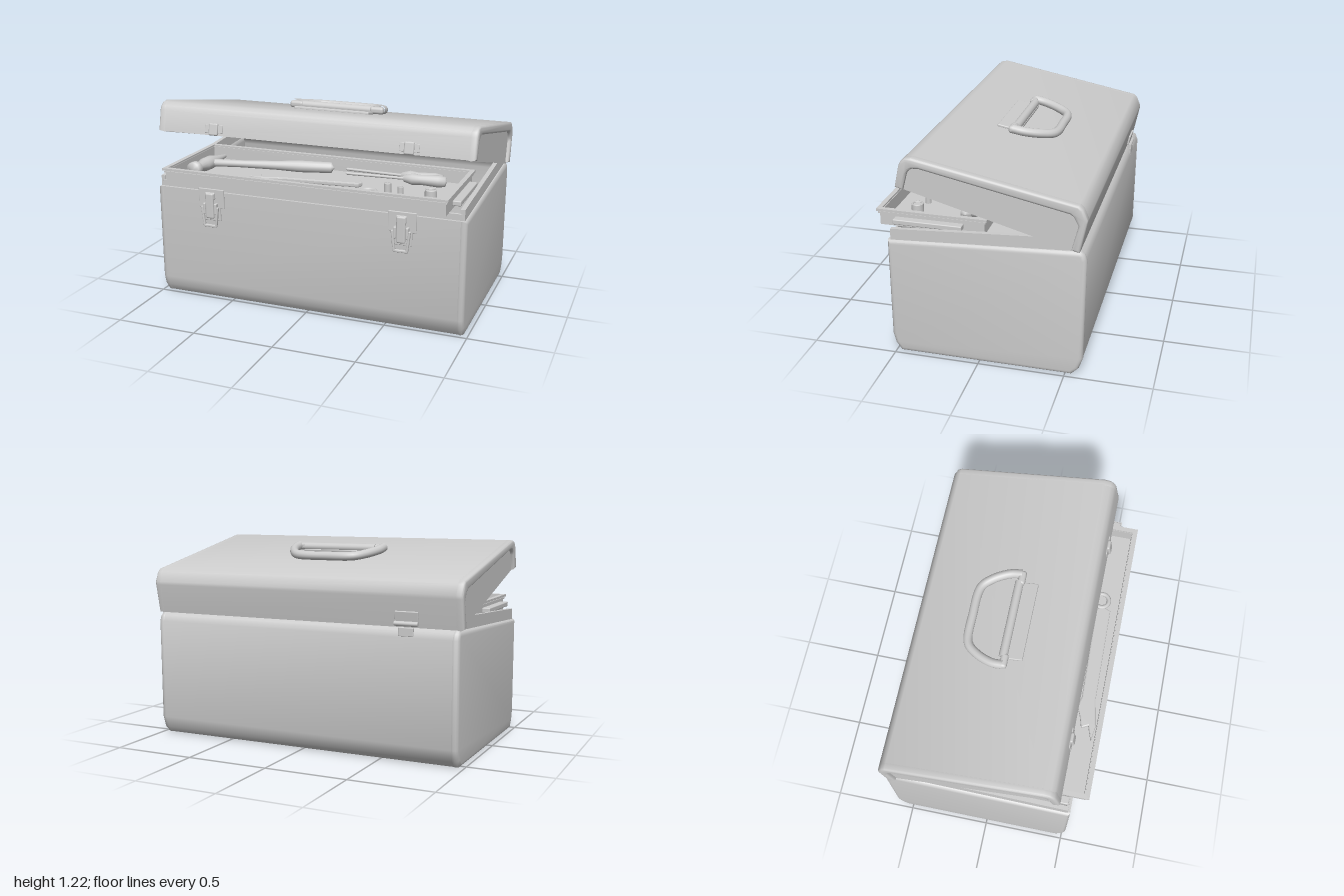
import * as THREE from 'three';
import { toCreasedNormals } from 'three/addons/utils/BufferGeometryUtils.js';
import { RoundedBoxGeometry } from 'three/addons/geometries/RoundedBoxGeometry.js';

export function createModel() {
  const root = new THREE.Group();
  const grey = new THREE.MeshStandardMaterial({ color: 0xcccccc });
  grey.name = 'grey metal';

  const add = (name, geo, pos = [0, 0, 0], rot = [0, 0, 0], parent = root) => {
    const mesh = new THREE.Mesh(geo, grey);
    mesh.name = name;
    mesh.position.set(...pos);
    mesh.rotation.set(...rot);
    parent.add(mesh);
    return mesh;
  };
  const box = (w, h, d, r = 0.006) => new RoundedBoxGeometry(w, h, d, 2, r);

  // Extrude a [z, y] outline along x, from x0 to x1
  const alongX = (pts, x0, x1, bevel = 0) => {
    const shape = new THREE.Shape(pts.map(([z, y]) => new THREE.Vector2(-z, y)));
    const geo = new THREE.ExtrudeGeometry(shape, {
      depth: x1 - x0 - 2 * bevel, bevelEnabled: bevel > 0, bevelSize: bevel,
      bevelThickness: bevel, bevelOffset: -bevel, bevelSegments: 3,
    });
    geo.translate(0, 0, x0 + bevel).rotateY(Math.PI / 2);
    return toCreasedNormals(geo, 0.7);
  };

  // Turn an open [z, y] line into a wall by shrinking it toward the line joining its ends
  const wall = (pts, kz, ky) => {
    const [a, b] = [pts[0], pts[pts.length - 1]];
    const cz = (a[0] + b[0]) / 2, m = (b[1] - a[1]) / (b[0] - a[0]);
    const line = z => a[1] + m * (z - a[0]);
    const inner = pts.map(([z, y]) => {
      const z2 = cz + (z - cz) * kz;
      return [z2, line(z2) + (y - line(z)) * ky];
    });
    return [...pts, ...inner.reverse()];
  };

  // Upright rectangular frame, for the tray
  const frame = (w, d, t, h) => {
    const rect = (a, b, P) => new P([[-a, -b], [a, -b], [a, b], [-a, b]].map(p => new THREE.Vector2(...p)));
    const shape = rect(w / 2, d / 2, THREE.Shape);
    shape.holes.push(rect(w / 2 - t, d / 2 - t, THREE.Path));
    return new THREE.ExtrudeGeometry(shape, { depth: h, bevelEnabled: false }).rotateX(-Math.PI / 2);
  };

  // Hollow body with rounded end plates
  const bodyLine = [[0.52, 0.71], [0.52, 0.11], [0.505, 0.05], [0.47, 0.002], [-0.535, 0.002],
    [-0.575, 0.04], [-0.598, 0.11], [-0.603, 0.72], [-0.59, 0.755], [-0.57, 0.772]];
  const bodyEnd = bodyLine.map(([z, y]) => [z * 1.003, y < 0.01 ? 0 : y]);
  add('bodyShell', alongX(wall(bodyLine, 0.97, 0.97), -0.955, 0.955));
  add('bodyFrontLip', box(1.9, 0.06, 0.012, 0.003), [0, 0.72, 0.5]);
  for (const s of [-1, 1]) {
    const span = (a, b) => s > 0 ? [a, b] : [-b, -a];
    add('bodyEnd', alongX(bodyEnd, ...span(0.925, 0.98), 0.024));
    add('bodySideLip', alongX([[0.505, 0.68], [0.505, 0.775], [-0.4, 0.832], [-0.55, 0.838], [-0.55, 0.74]],
      ...span(0.935, 0.962)));
  }

  // Open lid with rimmed ends
  const lidLine = [[0.452, 1.045], [0.425, 1.17], [0.412, 1.195], [0.388, 1.214], [0.35, 1.219],
    [-0.56, 1.043], [-0.582, 1.025], [-0.608, 0.965], [-0.606, 0.945], [-0.57, 0.772]];
  add('lidShell', alongX(wall(lidLine, 0.97, 0.93), -0.96, 0.96));
  for (const s of [-1, 1]) {
    const span = (a, b) => s > 0 ? [a, b] : [-b, -a];
    add('lidEndRim', alongX(wall(lidLine, 0.91, 0.76), ...span(0.94, 0.998), 0.014));
    add('lidEndPanel', alongX(lidLine.map(([z, y]) => [z * 0.98, y - 0.006]), ...span(0.952, 0.975)));
  }

  // Carrying handle lying on the lid
  const lidTop = z => 1.151 + 0.193 * z;
  const path = [[-0.29, -0.02], [-0.285, -0.09], [-0.24, -0.19], [-0.18, -0.25], [0, -0.262],
    [0.18, -0.25], [0.24, -0.19], [0.285, -0.09], [0.29, -0.02]]
    .map(([x, z]) => new THREE.Vector3(x, lidTop(z) + 0.03, z));
  add('handleGrip', new THREE.TubeGeometry(new THREE.CatmullRomCurve3(path), 48, 0.027, 12));
  add('handlePlate', box(0.49, 0.018, 0.14), [0, lidTop(0.015) + 0.006, 0.015], [-0.19, 0, 0]);
  add('handleBarrel', new THREE.CylinderGeometry(0.026, 0.026, 0.48, 16), [0, lidTop(-0.03) + 0.025, -0.03], [0, 0, Math.PI / 2]);
  for (const s of [-1, 1]) {
    add('handlePivot', box(0.09, 0.045, 0.045, 0.018), [s * 0.265, lidTop(-0.02) + 0.026, -0.02]);
  }

  // Latches on the body and their catches on the lid
  for (const s of [-1, 1]) {
    const latch = new THREE.Group();
    latch.name = 'latch';
    latch.position.set(s * 0.607, 0, 0);
    root.add(latch);
    add('latchPlate', box(0.17, 0.12, 0.012, 0.004), [0, 0.67, 0.524], undefined, latch);
    add('latchLowerPlate', box(0.12, 0.1, 0.012, 0.004), [0, 0.58, 0.524], undefined, latch);
    add('latchLever', box(0.055, 0.16, 0.022, 0.01), [0, 0.63, 0.55], undefined, latch);
    add('latchHook', box(0.065, 0.045, 0.02, 0.008), [0, 0.69, 0.542], undefined, latch);
    for (const t of [-1, 1]) {
      add('latchLoopSide', box(0.014, 0.13, 0.018, 0.005), [t * 0.045, 0.56, 0.55], [0, 0, -t * 0.12], latch);
      add('latchEar', box(0.018, 0.07, 0.035, 0.006), [t * 0.037, 0.61, 0.54], undefined, latch);
    }
    add('latchLoopBottom', box(0.085, 0.016, 0.018, 0.005), [0, 0.502, 0.55], undefined, latch);
    add('lidCatchPlate', box(0.12, 0.05, 0.008, 0.003), [s * 0.615, 1.085, 0.446], [-0.21, 0, 0]);
    add('lidCatch', box(0.06, 0.075, 0.022, 0.01), [s * 0.615, 1.083, 0.452], [-0.21, 0, 0]);
  }

  // Rear hinge
  add('hingeUpperLeaf', box(0.14, 0.06, 0.012, 0.004), [-0.67, 0.835, -0.59], [-0.2, 0, 0]);
  add('hingeLowerLeaf', box(0.09, 0.05, 0.012, 0.004), [-0.67, 0.75, -0.597]);
  add('hingePin', new THREE.CylinderGeometry(0.014, 0.014, 0.14, 12), [-0.67, 0.795, -0.594], [0, 0, Math.PI / 2]);

  // Lift-out tray
  const trayZ = 0.29;
  add('trayWalls', frame(1.75, 0.61, 0.015, 0.09), [0, 0.755, trayZ]);
  add('trayLedge', frame(1.765, 0.63, 0.02, 0.01), [0, 0.826, trayZ]);
  add('trayRim', frame(1.78, 0.645, 0.028, 0.014), [0, 0.841, trayZ]);
  add('trayFloor', new THREE.BoxGeometry(1.74, 0.012, 0.6), [0, 0.762, trayZ]);
  for (const s of [-1, 1]) add('trayArm', box(0.05, 0.03, 0.4), [s * 0.91, 0.805, 0.3]);

  // Tools: turned parts lie along x before yaw
  const turned = (name, profile, pos, yaw) =>
    add(name, new THREE.LatheGeometry(profile.map(([r, h]) => new THREE.Vector2(r, h)), 16), pos, [0, yaw, -Math.PI / 2]);

  turned('hammerHandle', [[0, 0], [0.025, 0], [0.022, 0.2], [0.028, 0.45], [0.037, 0.6], [0.034, 0.8], [0, 0.82]],
    [-0.77, 0.815, 0.27], 0.21);
  turned('hammerHead', [[0, 0], [0.045, 0], [0.045, 0.04], [0.028, 0.07], [0.042, 0.12], [0.042, 0.2], [0.025, 0.27], [0.012, 0.36], [0, 0.36]],
    [-0.77, 0.815, 0.45], Math.PI / 2 - 0.1);

  const wrenchShape = new THREE.Shape([[-0.53, -0.56], [-0.44, -0.53], [-0.46, -0.49], [-0.39, -0.47], [-0.33, -0.445],
    [-0.27, -0.46], [0.32, -0.445], [0.34, -0.49], [0.32, -0.535], [-0.27, -0.545], [-0.35, -0.56], [-0.43, -0.575]]
    .map(p => new THREE.Vector2(...p)));
  const wrenchGeo = new THREE.ExtrudeGeometry(wrenchShape, {
    depth: 0.012, bevelSize: 0.008, bevelThickness: 0.008, bevelOffset: -0.008, bevelSegments: 2,
  }).rotateX(-Math.PI / 2);
  add('wrench', wrenchGeo, [0, 0.79, 0]);
  add('smallWrench', wrenchGeo, [-0.02, 0.785, -0.02], [0, 0.1, 0]).scale.set(0.8, 1, 0.7);
  add('wrenchRing', new THREE.TorusGeometry(0.045, 0.014, 8, 24), [0.38, 0.805, 0.47], [Math.PI / 2, 0, 0]);

  // Screwdrivers and sockets
  for (const [x, z, yaw] of [[0.1, 0.08, -0.03], [0.13, 0.17, 0.06]]) {
    turned('screwdriver', [[0, 0], [0.009, 0.01], [0.009, 0.36], [0.02, 0.37], [0.035, 0.42], [0.03, 0.47], [0.037, 0.58], [0.03, 0.62], [0, 0.63]],
      [x, 0.81, z], yaw);
  }
  for (const [x, z, r] of [[0.74, 0.42, 0.035], [0.56, 0.42, 0.018], [0.47, 0.38, 0.022]]) {
    add('socket', new THREE.CylinderGeometry(r, r, 0.07, 20), [x, 0.805, z]);
    add('socketRim', new THREE.TorusGeometry(r * 0.85, r * 0.15, 8, 20), [x, 0.841, z], [Math.PI / 2, 0, 0]);
  }
  return root;
}
